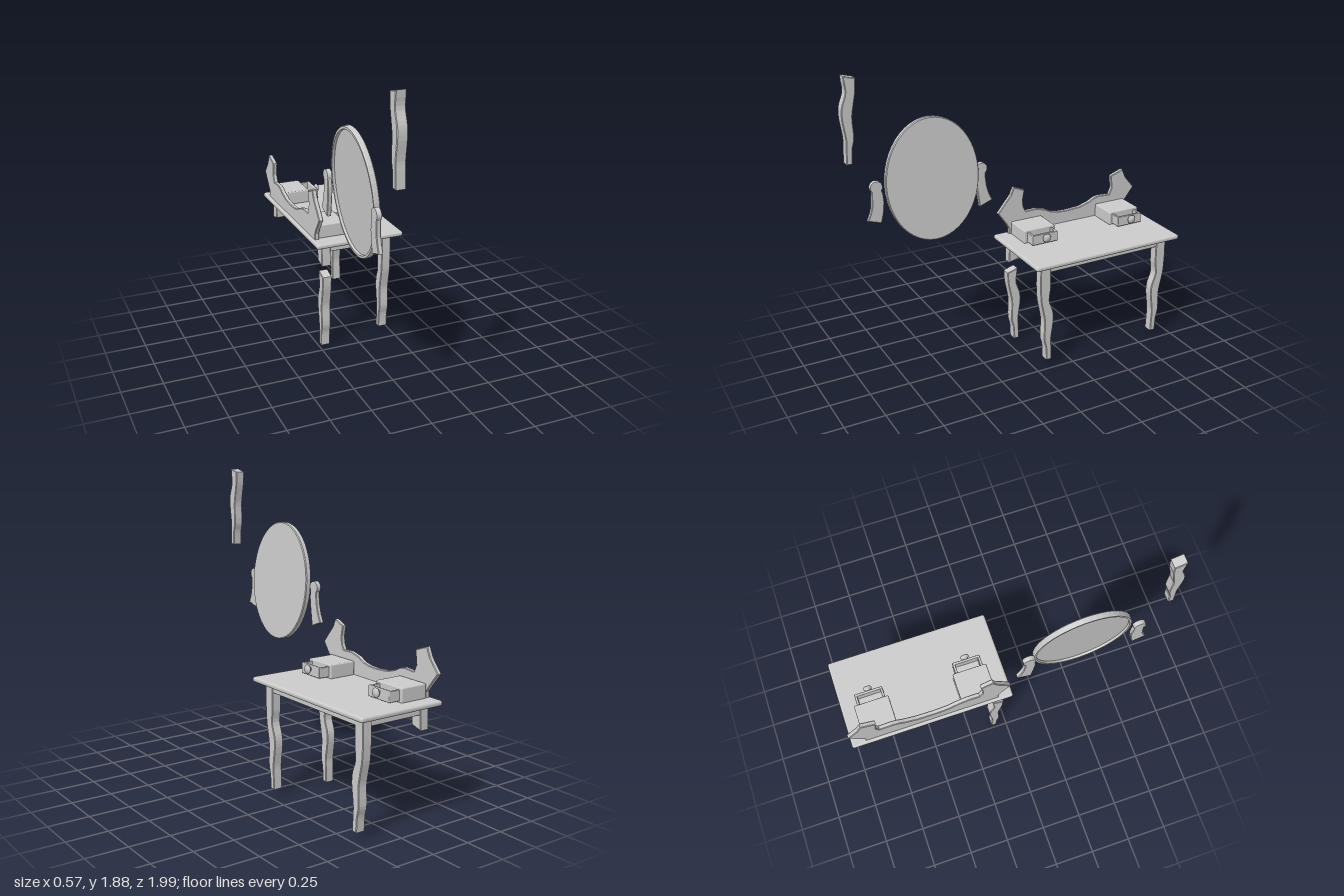
import * as THREE from 'three';
import { RoundedBoxGeometry } from 'three/addons/geometries/RoundedBoxGeometry.js';

const material = new THREE.MeshStandardMaterial({ color: 0xcccccc });
const MID = -0.4825; // z of the table's centre

function add(parent, name, geometry, x = 0, y = 0, z = 0) {
  const mesh = new THREE.Mesh(geometry, material);
  mesh.name = name;
  mesh.position.set(x, y, z);
  parent.add(mesh);
  return mesh;
}

// Flat board cut from a [z, y] outline, spanning x0..x1
function board(outline, x0, x1, bevel = 0.004) {
  const shape = new THREE.Shape(outline.map(([z, y]) => new THREE.Vector2(-z, y)));
  const geometry = new THREE.ExtrudeGeometry(shape, {
    depth: x1 - x0 - 2 * bevel, bevelEnabled: true, bevelSize: bevel,
    bevelThickness: bevel, bevelOffset: -bevel, bevelSegments: 1, curveSegments: 10,
  });
  return geometry.rotateY(Math.PI / 2).translate(x0 + bevel, 0, 0);
}

// Rounded box from its limits
function block(parent, name, x0, x1, y0, y1, z0, z1, r = 0.005) {
  const geometry = new RoundedBoxGeometry(x1 - x0, y1 - y0, z1 - z0, 2, r);
  return add(parent, name, geometry, (x0 + x1) / 2, (y0 + y1) / 2, (z0 + z1) / 2);
}

// Wavy leg: rows of [y, outer z, inner z]
const STUB = [[0.7, -0.935, -0.866], [0.56, -0.937, -0.866]];
const SHAFT = [[0.535, -0.936, -0.866], [0.46, -0.931, -0.874], [0.38, -0.915, -0.848],
  [0.32, -0.905, -0.844], [0.195, -0.908, -0.86], [0.14, -0.895, -0.858], [0.05, -0.89, -0.855]];

function leg(rows, x, mirrored, dy = 0, dz = 0, slant = 0) {
  const curve = new THREE.CatmullRomCurve3(rows.map(([y, o, i]) => new THREE.Vector3(o, y, i)));
  const points = curve.getPoints(rows.length * 3);
  const place = (z, y) => [(mirrored ? 2 * MID - z : z) + dz, y + dy];
  const outline = [
    ...points.map((p) => place(p.x, p.y)),
    ...points.reverse().map((p, k, all) => place(p.z, p.y + (slant && k === (slant > 0 ? all.length - 1 : 0) ? Math.abs(slant) : 0))),
  ];
  return board(outline, x - 0.03, x + 0.03);
}

// Swivel arm with a round head
function arm(group, name, headZ, outline) {
  add(group, name, board(outline, -0.265, -0.237));
  const head = new THREE.CylinderGeometry(0.037, 0.037, 0.028, 20).rotateZ(Math.PI / 2);
  add(group, name + 'Head', head, -0.251, 1.198, headZ);
}

function trinketBox(group, name, z) {
  const box = new THREE.Group();
  box.name = name;
  box.position.z = z;
  group.add(box);
  block(box, 'drawerCase', -0.235, -0.06, 0.726, 0.813, -0.108, 0.108, 0.008);
  // Pulled out drawer, open at the top
  block(box, 'drawerFloor', -0.065, 0.005, 0.737, 0.748, -0.085, 0.085, 0.003);
  block(box, 'drawerFront', -0.006, 0.011, 0.737, 0.802, -0.088, 0.088);
  for (const s of [-1, 1]) {
    block(box, 'drawerSide', -0.065, 0.005, 0.737, 0.8, s * 0.08 - 0.008, s * 0.08 + 0.008, 0.004);
  }
  const profile = [[0, 0], [0.013, 0], [0.013, 0.012], [0.024, 0.015], [0.028, 0.022], [0.022, 0.031], [0, 0.034]]
    .map(([r, h]) => new THREE.Vector2(r, h));
  add(box, 'knob', new THREE.LatheGeometry(profile, 16).rotateZ(-Math.PI / 2), 0.009, 0.779, 0);
}

export function createModel() {
  const group = new THREE.Group();

  // Table top and apron
  block(group, 'tableTop', -0.283, 0.283, 0.697, 0.729, -0.995, 0.03, 0.014);
  block(group, 'apron', -0.23, 0.222, 0.647, 0.705, -0.93, -0.035);

  // Two whole legs, two snapped stubs and their loose lower parts
  const whole = [...STUB, ...SHAFT];
  add(group, 'farLeg', leg(whole, 0.195, false));
  add(group, 'nearLeg', leg(whole, 0.195, true));
  add(group, 'farStub', leg(STUB, -0.205, false, 0, 0, -0.02));
  add(group, 'nearStub', leg(STUB, -0.205, true, 0, 0, -0.02));
  add(group, 'nearBrokenLeg', leg(SHAFT, -0.205, true, -0.045, 0.013, 0.02));
  add(group, 'floatingBrokenLeg', leg(SHAFT, -0.205, false, 1.335, 1.842, 0.018));

  // Scalloped back board
  const back = [[-0.06, 0.725], [-0.06, 0.765], [-0.04, 0.8], [0.016, 0.878], [-0.03, 0.935], [-0.072, 0.985],
    [-0.094, 1.036], [-0.17, 1.005], [-0.158, 0.94], [-0.162, 0.895], [-0.18, 0.86], [-0.25, 0.862],
    [-0.315, 0.847], [-0.37, 0.82], [-0.42, 0.81], [-0.48, 0.807], [-0.58, 0.813], [-0.65, 0.834],
    [-0.69, 0.855], [-0.727, 0.862], [-0.805, 0.857], [-0.824, 0.9], [-0.813, 0.984], [-0.904, 1.016],
    [-0.93, 0.957], [-0.995, 0.88], [-0.925, 0.79], [-0.905, 0.765], [-0.905, 0.725]];
  add(group, 'backBoard', board(back, -0.265, -0.237));

  trinketBox(group, 'nearDrawerBox', -0.18);
  trinketBox(group, 'farDrawerBox', -0.803);

  // Oval looking glass, leaning back, with a rim around its hollow rear
  const mirror = new THREE.Group();
  mirror.name = 'mirror';
  mirror.position.set(-0.223, 1.198, 0.458);
  mirror.rotation.z = 0.07;
  group.add(mirror);
  const section = [[0, -0.003], [0.945, -0.003], [0.95, -0.018], [0.99, -0.018], [1, -0.012],
    [1, 0.013], [0.985, 0.018], [0, 0.018]].map(([r, h]) => new THREE.Vector2(r, h));
  const oval = new THREE.LatheGeometry(section, 48).toNonIndexed();
  oval.scale(0.297, 1, 0.377).rotateX(Math.PI / 2).rotateY(Math.PI / 2);
  oval.computeVertexNormals();
  add(mirror, 'ovalGlass', oval);

  // Detached swivel arms
  arm(group, 'nearArm', 0.801, [[0.83, 1.19], [0.831, 1.145], [0.834, 1.08], [0.845, 1.04], [0.863, 0.998],
    [0.78, 0.972], [0.765, 1.03], [0.757, 1.1], [0.762, 1.155], [0.775, 1.19]]);
  arm(group, 'farArm', 0.126, [[0.158, 1.19], [0.165, 1.14], [0.163, 1.1], [0.155, 1.04], [0.141, 0.952],
    [0.055, 0.985], [0.077, 1.03], [0.092, 1.08], [0.1, 1.14], [0.1, 1.19]]);

  return group;
}
